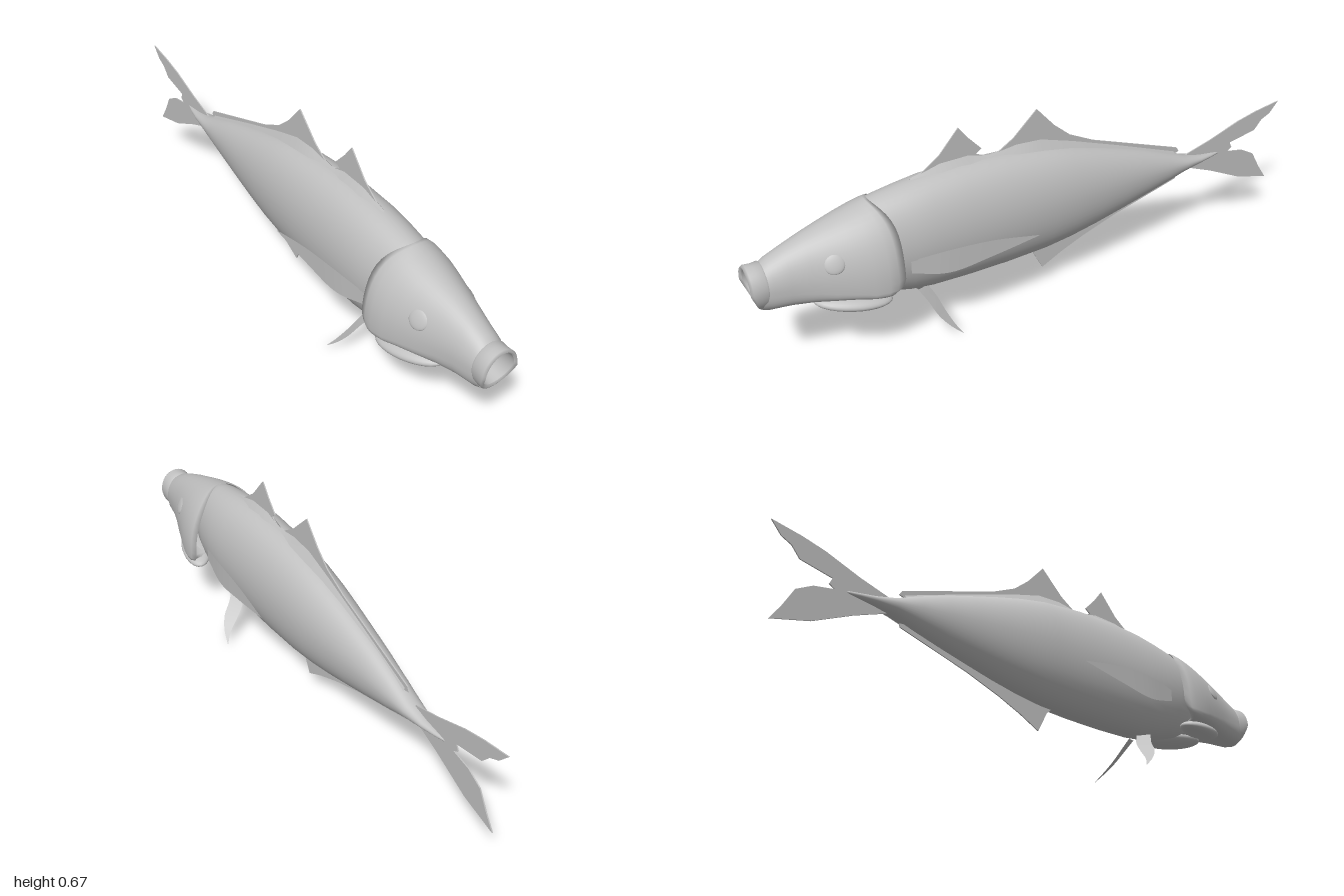
import * as THREE from 'three';

const grey = new THREE.MeshStandardMaterial({ color: 0xc0c0c0, side: THREE.DoubleSide });
grey.name = 'plain grey';

// Surface from rings [z, top, mid, bottom, halfWidth, sideSweep, bottomSweep, bottomPower]
function loft(name, rings, { capStart = false, capEnd = false, power = 1 } = {}) {
  const N = 48, pos = [], idx = [];
  for (const [z, top, mid, bot, w, sideSweep = 0, bottomSweep = 0, bp = power] of rings) {
    for (let i = 0; i < N; i++) {
      const a = (i / N) * Math.PI * 2, c = Math.cos(a), s = Math.sin(a);
      const p = s < 0 ? bp : power;
      const x = w * Math.sign(c) * Math.abs(c) ** p;
      const y = s >= 0 ? mid + (top - mid) * s ** power : mid - (mid - bot) * (-s) ** p;
      const dz = s < 0
        ? sideSweep * (1 + s) + bottomSweep * -s
        : sideSweep * (1 - s ** 6);
      pos.push(x, y, z + dz);
    }
  }
  for (let r = 0; r < rings.length - 1; r++) {
    for (let i = 0; i < N; i++) {
      const a = r * N + i, b = r * N + ((i + 1) % N), c = a + N, d = b + N;
      idx.push(a, c, b, b, c, d);
    }
  }
  const cap = (r, facesFront) => {
    const k = pos.length / 3, [z, top, , bot] = rings[r];
    pos.push(0, (top + bot) / 2, z);
    for (let i = 0; i < N; i++) {
      const a = r * N + i, b = r * N + ((i + 1) % N);
      if (facesFront) idx.push(k, a, b); else idx.push(k, b, a);
    }
  };
  if (capStart) cap(0, true);
  if (capEnd) cap(rings.length - 1, false);
  return build(name, pos, idx);
}

function build(name, pos, idx) {
  const g = new THREE.BufferGeometry();
  g.setAttribute('position', new THREE.Float32BufferAttribute(pos, 3));
  g.setIndex(idx);
  g.computeVertexNormals();
  const m = new THREE.Mesh(g, grey);
  m.name = name;
  return m;
}

// Thin upright fin on the centre line, outline given as [z, y]
function flatFin(name, pts) {
  const shape = new THREE.Shape(pts.map(([z, y]) => new THREE.Vector2(z, y)));
  const g = new THREE.ExtrudeGeometry(shape, { depth: 0.004, bevelEnabled: false });
  g.translate(0, 0, -0.002);
  g.rotateY(-Math.PI / 2);
  const m = new THREE.Mesh(g, grey);
  m.name = name;
  return m;
}

// Curved thin fin between two edges of [x, y, z] points, on one side of the body
function pairedFin(name, edgeA, edgeB, side) {
  const curve = (e) => new THREE.CatmullRomCurve3(e.map(([x, y, z]) => new THREE.Vector3(x * side, y, z)));
  const A = curve(edgeA).getPoints(16), B = curve(edgeB).getPoints(16), pos = [], idx = [];
  A.forEach((p, i) => pos.push(...p.toArray(), ...B[i].toArray()));
  for (let i = 0; i < 16; i++) {
    const k = i * 2;
    if (side > 0) idx.push(k, k + 1, k + 2, k + 1, k + 3, k + 2);
    else idx.push(k, k + 2, k + 1, k + 1, k + 2, k + 3);
  }
  return build(name, pos, idx);
}

export function createModel() {
  const fish = new THREE.Group();
  fish.name = 'fish';

  // Trunk, tapering to the tail stem
  fish.add(loft('body', [
    [0.70, 0.470, 0.36, 0.240, 0.060],
    [0.64, 0.505, 0.36, 0.205, 0.088],
    [0.58, 0.520, 0.355, 0.185, 0.102],
    [0.50, 0.533, 0.35, 0.163, 0.112],
    [0.42, 0.544, 0.35, 0.153, 0.116],
    [0.30, 0.550, 0.35, 0.149, 0.115],
    [0.15, 0.545, 0.35, 0.149, 0.111],
    [0.00, 0.528, 0.35, 0.155, 0.104],
    [-0.10, 0.506, 0.345, 0.168, 0.096],
    [-0.20, 0.478, 0.34, 0.187, 0.085],
    [-0.30, 0.447, 0.335, 0.210, 0.073],
    [-0.40, 0.415, 0.33, 0.234, 0.060],
    [-0.50, 0.377, 0.323, 0.260, 0.047],
    [-0.58, 0.343, 0.317, 0.284, 0.036],
    [-0.65, 0.326, 0.312, 0.296, 0.024],
    [-0.70, 0.320, 0.311, 0.302, 0.013],
    [-0.74, 0.315, 0.311, 0.307, 0.002],
  ], { capStart: true, capEnd: true }));

  // Thickened bases of the dorsal fins
  fish.add(loft('dorsalRidge', [
    [0.46, 0.543, 0.53, 0.51, 0.010],
    [0.36, 0.570, 0.535, 0.51, 0.026],
    [0.26, 0.572, 0.535, 0.51, 0.026],
    [0.19, 0.551, 0.535, 0.51, 0.018],
    [0.09, 0.565, 0.525, 0.50, 0.026],
    [0.00, 0.560, 0.515, 0.49, 0.026],
    [-0.12, 0.523, 0.485, 0.46, 0.022],
    [-0.30, 0.460, 0.43, 0.41, 0.018],
    [-0.54, 0.372, 0.355, 0.34, 0.010],
  ], { power: 2 }));

  // Head shell flaring into open gill covers, with a folded rim
  fish.add(loft('head', [
    [0.955, 0.392, 0.325, 0.252, 0.056, 0, 0.015, 0.9],
    [0.930, 0.410, 0.325, 0.248, 0.063, 0, 0.02, 0.8],
    [0.880, 0.432, 0.325, 0.247, 0.072, 0, 0, 0.7],
    [0.820, 0.455, 0.320, 0.246, 0.088, 0, 0, 0.6],
    [0.760, 0.474, 0.310, 0.244, 0.108, 0, 0, 0.5],
    [0.700, 0.492, 0.300, 0.240, 0.127, 0, 0, 0.45],
    [0.650, 0.505, 0.290, 0.234, 0.141, 0, 0, 0.4],
    [0.625, 0.512, 0.288, 0.231, 0.147, -0.02, 0, 0.4],
    [0.612, 0.516, 0.288, 0.230, 0.146, -0.035, 0.01, 0.4],
    [0.604, 0.518, 0.290, 0.233, 0.138, -0.052, 0.015, 0.4],
    [0.610, 0.515, 0.295, 0.240, 0.126, -0.03, 0.02, 0.4],
    [0.650, 0.500, 0.300, 0.245, 0.110, 0, 0.02, 0.4],
  ]));

  // Tube-like lips and the open mouth
  fish.add(loft('lips', [
    [0.992, 0.390, 0.330, 0.270, 0.051, 0, -0.02],
    [1.000, 0.397, 0.330, 0.262, 0.057, 0, -0.025],
    [0.992, 0.402, 0.330, 0.256, 0.062, 0, -0.02],
    [0.970, 0.400, 0.330, 0.253, 0.060, 0, -0.005],
    [0.950, 0.402, 0.330, 0.252, 0.061, 0, 0.005],
    [0.940, 0.392, 0.330, 0.254, 0.056],
  ]));
  fish.add(loft('mouthCavity', [
    [0.730, 0.355, 0.320, 0.285, 0.028],
    [0.850, 0.375, 0.325, 0.278, 0.042],
    [0.992, 0.390, 0.330, 0.270, 0.051, 0, -0.02],
  ], { capStart: true }));

  // Dorsal, anal and tail fins
  fish.add(flatFin('frontDorsalFin', [[0.45, 0.53], [0.43, 0.545], [0.36, 0.595], [0.292, 0.672],
    [0.26, 0.63], [0.215, 0.582], [0.235, 0.567], [0.205, 0.553], [0.18, 0.53]]));
  fish.add(flatFin('rearDorsalFin', [[0.19, 0.53], [0.16, 0.55], [0.10, 0.587], [0.015, 0.667],
    [-0.05, 0.595], [-0.11, 0.545], [-0.2, 0.502], [-0.35, 0.45], [-0.55, 0.381], [-0.56, 0.365],
    [-0.52, 0.355], [-0.35, 0.42], [-0.1, 0.49]]));
  fish.add(flatFin('analFin', [[0.06, 0.165], [0.03, 0.135], [-0.005, 0.067], [-0.08, 0.105],
    [-0.17, 0.143], [-0.3, 0.188], [-0.55, 0.258], [-0.555, 0.27], [-0.5, 0.275], [-0.25, 0.215], [-0.08, 0.18]]));
  fish.add(flatFin('tailFin', [[-0.56, 0.318], [-0.6, 0.343], [-0.7, 0.372], [-0.82, 0.415], [-0.9, 0.435],
    [-1.0, 0.452], [-0.965, 0.412], [-0.93, 0.395], [-0.9, 0.36], [-0.79, 0.338], [-0.8, 0.317],
    [-0.78, 0.305], [-0.85, 0.292], [-0.905, 0.262], [-0.94, 0.2], [-0.975, 0.148], [-0.845, 0.182],
    [-0.71, 0.245], [-0.6, 0.288]]));

  for (const side of [1, -1]) {
    const label = side > 0 ? 'left' : 'right';
    // Long side fin lying along the flank
    fish.add(pairedFin(label + 'PectoralFin',
      [[0.108, 0.325, 0.52], [0.124, 0.333, 0.40], [0.131, 0.325, 0.25], [0.135, 0.295, 0.085]],
      [[0.108, 0.280, 0.52], [0.124, 0.252, 0.40], [0.131, 0.268, 0.25], [0.135, 0.293, 0.085]], side));
    // Splayed belly fin, its outer edge leading
    fish.add(pairedFin(label + 'PelvicFin',
      [[0.042, 0.165, 0.475], [0.064, 0.125, 0.452], [0.097, 0.082, 0.432], [0.117, 0.042, 0.40], [0.126, 0.004, 0.36]],
      [[0.018, 0.155, 0.430], [0.034, 0.118, 0.410], [0.065, 0.078, 0.397], [0.104, 0.036, 0.38], [0.125, 0.005, 0.36]], side));

    // Faint eye bulge
    const eye = new THREE.Mesh(new THREE.SphereGeometry(0.032, 24, 16), grey);
    eye.name = label + 'Eye';
    eye.scale.set(0.25, 1, 1);
    eye.position.set(side * 0.094, 0.385, 0.755);
    eye.rotation.set(0, side * -0.3, side * 0.4);
    fish.add(eye);

    // Throat membrane below the gill cover
    const throat = new THREE.Mesh(new THREE.SphereGeometry(1, 28, 18), grey);
    throat.name = label + 'ThroatMembrane';
    throat.scale.set(0.052, 0.024, 0.12);
    throat.position.set(side * 0.070, 0.227, 0.70);
    throat.rotation.set(-0.12, side * -0.3, side * -0.15);
    fish.add(throat);
  }
  return fish;
}
